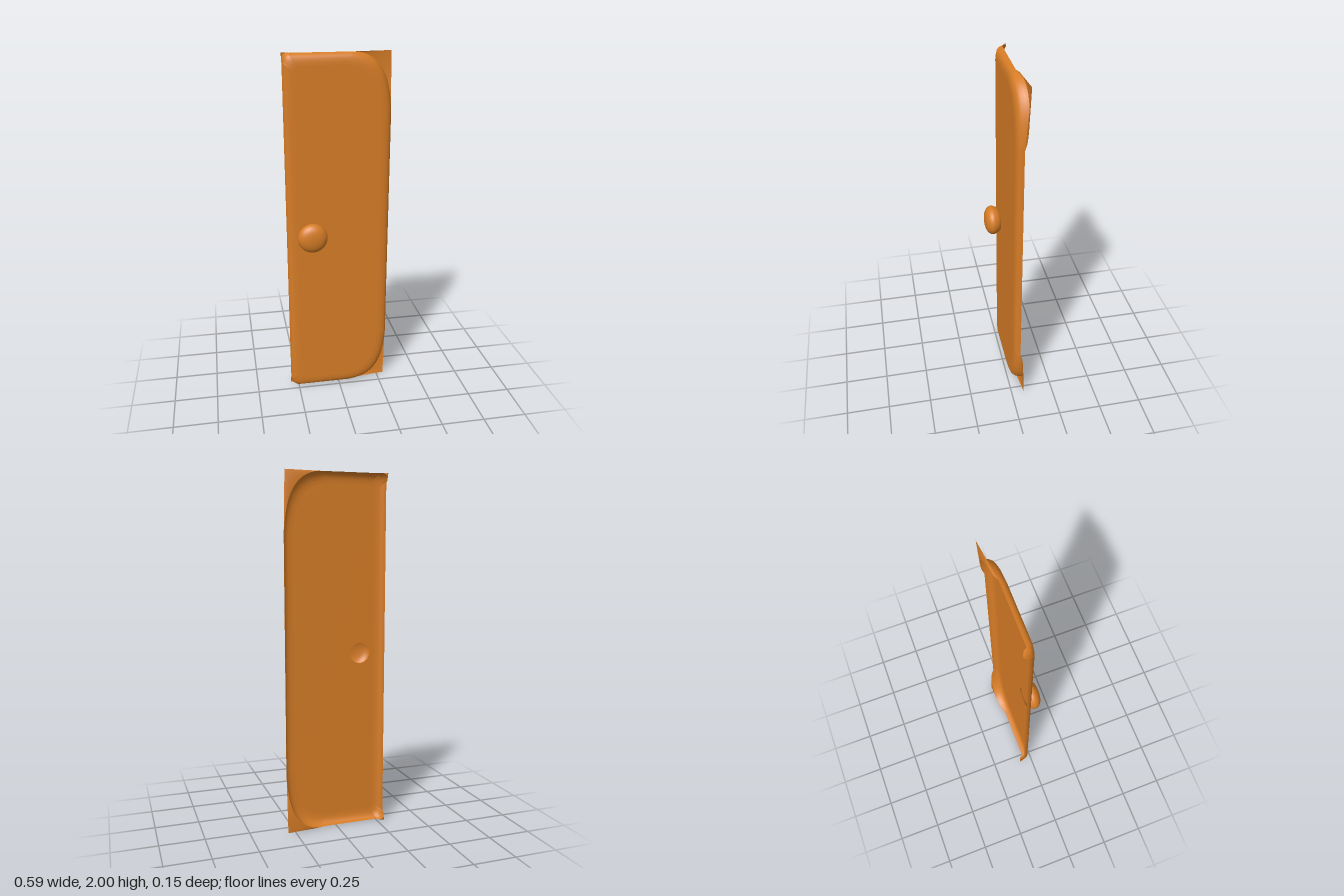
import * as THREE from 'three';

const X0 = -0.295, X1 = 0.293, H = 2, FACE_Z = -0.013;
const KNOB = { x: -0.158, y: 1.0, neck: 0.058 };
const STEPS = 16;

// Each corner: position, inward directions, corner extents, and whether x is the leaving side
const corners = [
  { x: X1, y: 0, sx: -1, sy: 1, a: 0.22, b: 0.32, startsOnX: true },
  { x: X1, y: H, sx: -1, sy: -1, a: 0.22, b: 0.32, startsOnX: false },
  { x: X0, y: H, sx: 1, sy: -1, a: 0.035, b: 0.05, startsOnX: true },
  { x: X0, y: 0, sx: 1, sy: 1, a: 0.035, b: 0.05, startsOnX: false },
];

// Counter-clockwise rounded outline at a given inset; w is 1 in the corners and 0 on the edges
function outline(inset) {
  const pts = [];
  for (const c of corners) {
    const cx = c.x + c.sx * inset, cy = c.y + c.sy * inset;
    const onX = new THREE.Vector2(cx + c.sx * Math.max(c.a - inset * 0.3, 0.02), cy);
    const onY = new THREE.Vector2(cx, cy + c.sy * Math.max(c.b - inset * 0.3, 0.02));
    const ends = c.startsOnX ? [onX, onY] : [onY, onX];
    const curve = new THREE.QuadraticBezierCurve(ends[0], new THREE.Vector2(cx, cy), ends[1]);
    for (let i = 0; i <= STEPS; i++) {
      const t = i / STEPS, p = curve.getPoint(t);
      pts.push({ x: p.x, y: p.y, w: Math.sqrt(Math.max(0, Math.sin(Math.PI * t))) });
    }
  }
  return pts;
}

const rimZ = (w) => -0.05 - 0.026 * w;

function buffer(positions, indices) {
  const g = new THREE.BufferGeometry();
  g.setAttribute('position', new THREE.Float32BufferAttribute(positions, 3));
  g.setIndex(indices);
  g.computeVertexNormals();
  return g;
}

// Rounded border lofted from the back rim to the flat face
function borderGeometry(profile) {
  const pos = [], idx = [];
  const n = corners.length * (STEPS + 1);
  profile.forEach(([inset, depth]) => {
    for (const p of outline(inset)) pos.push(p.x, p.y, FACE_Z + (rimZ(p.w) - FACE_Z) * depth);
  });
  for (let r = 0; r < profile.length - 1; r++) {
    for (let k = 0; k < n; k++) {
      const a = r * n + k, b = r * n + (k + 1) % n;
      idx.push(a, b, b + n, a, b + n, a + n);
    }
  }
  return buffer(pos, idx);
}

// Thin flange filling one square corner behind the rounded border
function flangeGeometry(cornerIndex) {
  const c = corners[cornerIndex];
  const pos = [c.x, c.y, rimZ(1)], idx = [];
  const pts = outline(0).slice(cornerIndex * (STEPS + 1), (cornerIndex + 1) * (STEPS + 1));
  pts.forEach((p) => pos.push(p.x, p.y, rimZ(p.w)));
  for (let i = 1; i <= STEPS; i++) idx.push(0, i + 1, i);
  return buffer(pos, idx);
}

export function createModel() {
  const group = new THREE.Group();
  group.name = 'cabinetDoor';
  const orange = new THREE.MeshStandardMaterial({ color: 0xd67c26, side: THREE.DoubleSide });
  orange.name = 'orange';
  const add = (name, geometry) => {
    const mesh = new THREE.Mesh(geometry, orange);
    mesh.name = name;
    group.add(mesh);
    return mesh;
  };

  // Border: [inset, depth] with depth 1 at the rim and 0 at the face
  const profile = [[0, 1], [0.002, 0.7], [0.007, 0.42], [0.016, 0.2], [0.03, 0.07], [0.045, 0.015], [0.06, 0]];
  add('panelBorder', borderGeometry(profile));

  // Flat face, open behind the knob
  const face = new THREE.Shape(outline(0.06).map((p) => new THREE.Vector2(p.x, p.y)));
  const hole = new THREE.Path();
  hole.absarc(KNOB.x, KNOB.y, KNOB.neck, 0, Math.PI * 2, true);
  face.holes.push(hole);
  add('panelFace', new THREE.ShapeGeometry(face, 32)).position.z = FACE_Z;

  // Corner flanges
  corners.forEach((c, i) => add('cornerFlange', flangeGeometry(i)));

  // Hollow round knob, turned about the z axis
  const knobCurve = new THREE.SplineCurve([
    [KNOB.neck, FACE_Z], [0.073, 0.001], [0.084, 0.027], [0.078, 0.049],
    [0.057, 0.066], [0.028, 0.074], [0, 0.076],
  ].map(([r, z]) => new THREE.Vector2(r, z)));
  const knobPoints = knobCurve.getPoints(24);
  knobPoints[24].x = 0;
  const knob = add('knob', new THREE.LatheGeometry(knobPoints, 40));
  knob.rotation.x = Math.PI / 2;
  knob.position.set(KNOB.x, KNOB.y, 0);

  return group;
}
